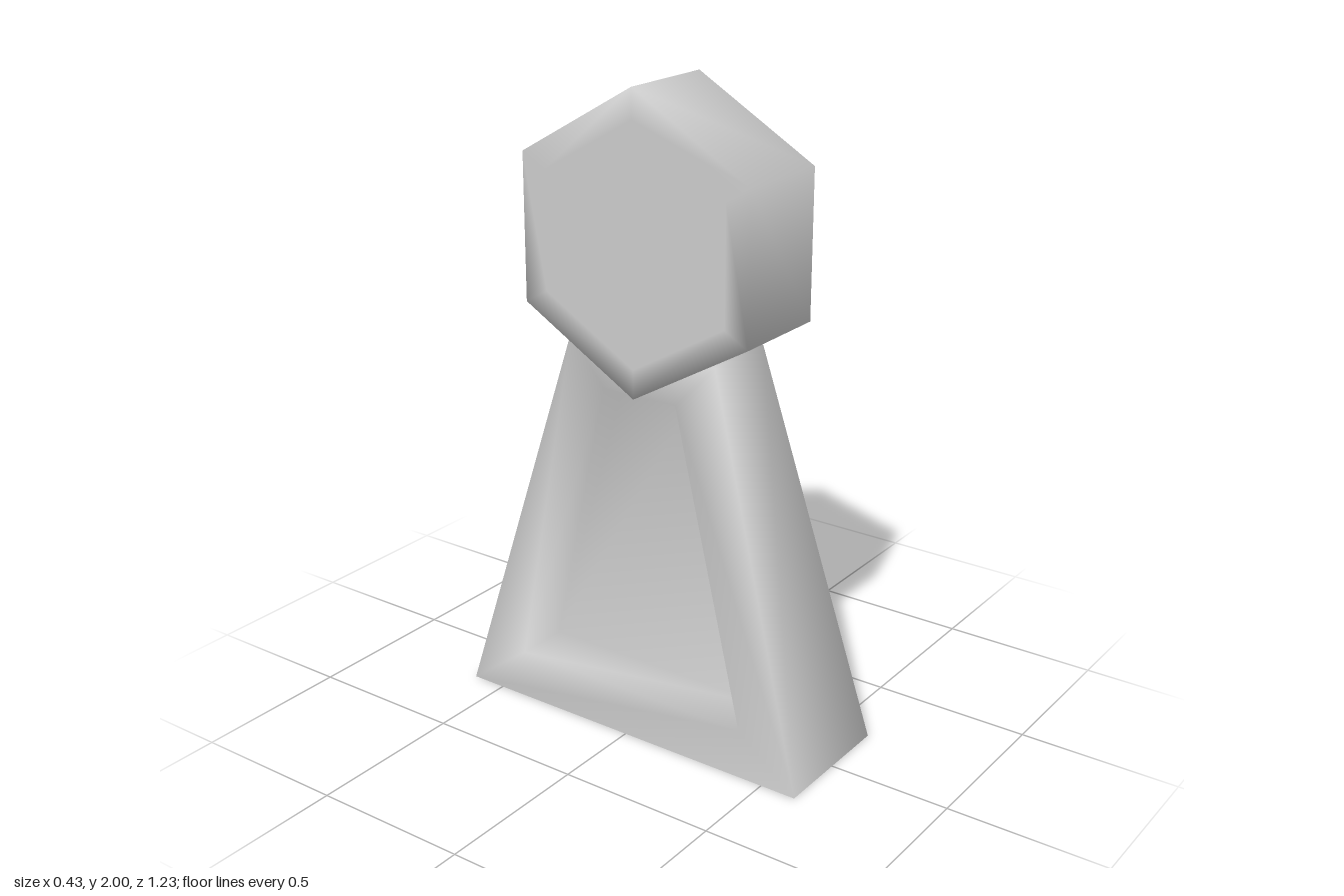
import * as THREE from 'three';

function smoothGeometry(points, quads) {
  const g = new THREE.BufferGeometry();
  g.setAttribute('position', new THREE.Float32BufferAttribute(points.flat(), 3));
  g.setIndex(quads.flatMap(([a, b, c, d]) => (d === undefined ? [a, b, c] : [a, b, c, a, c, d])));
  g.computeVertexNormals();
  return g;
}

// Tapered shell, open underneath, with a trapezoid recess in each side
function frameGeometry() {
  const points = [], quads = [];
  const faceX = y => 0.215 - 0.073 * y;
  const trapezoid = (y0, z0, y1, z1, x) =>
    [[y0, z0], [y0, -z0], [y1, -z1], [y1, z1]].map(([y, z]) => [x(y), y, z]);
  const loops = [
    ...trapezoid(0, 0.615, 1.23, 0.26, faceX),        // outer edge
    ...trapezoid(0.15, 0.41, 1.09, 0.13, faceX),      // recess edge
    ...trapezoid(0.15, 0.41, 1.09, 0.13, () => 0.03), // recess floor
  ];
  for (const side of [1, -1]) {
    const base = points.length;
    loops.forEach(([x, y, z]) => points.push([side * x, y, z]));
    const add = q => {
      const ids = q.map(i => i + base);
      quads.push(side > 0 ? ids : ids.reverse());
    };
    for (const k of [0, 4])
      for (let i = 0; i < 4; i++) {
        const j = (i + 1) % 4;
        add([k + i, k + j, k + 4 + j, k + 4 + i]);
      }
    add([8, 9, 10, 11]);
  }
  // front, back and top; the second side starts at index 12
  quads.push([12, 0, 3, 15], [1, 13, 14, 2], [15, 3, 2, 14]);
  return smoothGeometry(points, quads);
}

// Hexagonal prism along x, with an inset ring that keeps the face centres flat
function hexGeometry() {
  const points = [], quads = [];
  const rings = [[-0.163, 0.8], [-0.163, 1], [0.163, 1], [0.163, 0.8]];
  for (const [x, s] of rings)
    for (let i = 0; i < 6; i++) {
      const t = (i * Math.PI) / 3;
      points.push([x, 1.545 + 0.455 * s * Math.cos(t), 0.455 * s * Math.sin(t)]);
    }
  points.push([-0.163, 1.545, 0], [0.163, 1.545, 0]);
  for (let i = 0; i < 6; i++) {
    const j = (i + 1) % 6;
    for (let k = 0; k < 18; k += 6) quads.push([k + i, k + j, k + 6 + j, k + 6 + i]);
    quads.push([24, j, i], [25, 18 + i, 18 + j]);
  }
  return smoothGeometry(points, quads);
}

export function createModel() {
  const group = new THREE.Group();
  group.name = 'hexagonHeadOnStand';
  const grey = new THREE.MeshStandardMaterial({ color: 0xcccccc, side: THREE.DoubleSide });
  grey.name = 'grey';
  const addPart = (name, geometry) => {
    const mesh = new THREE.Mesh(geometry, grey);
    mesh.name = name;
    group.add(mesh);
  };
  addPart('taperedStand', frameGeometry());
  addPart('hexagonHead', hexGeometry());
  return group;
}
